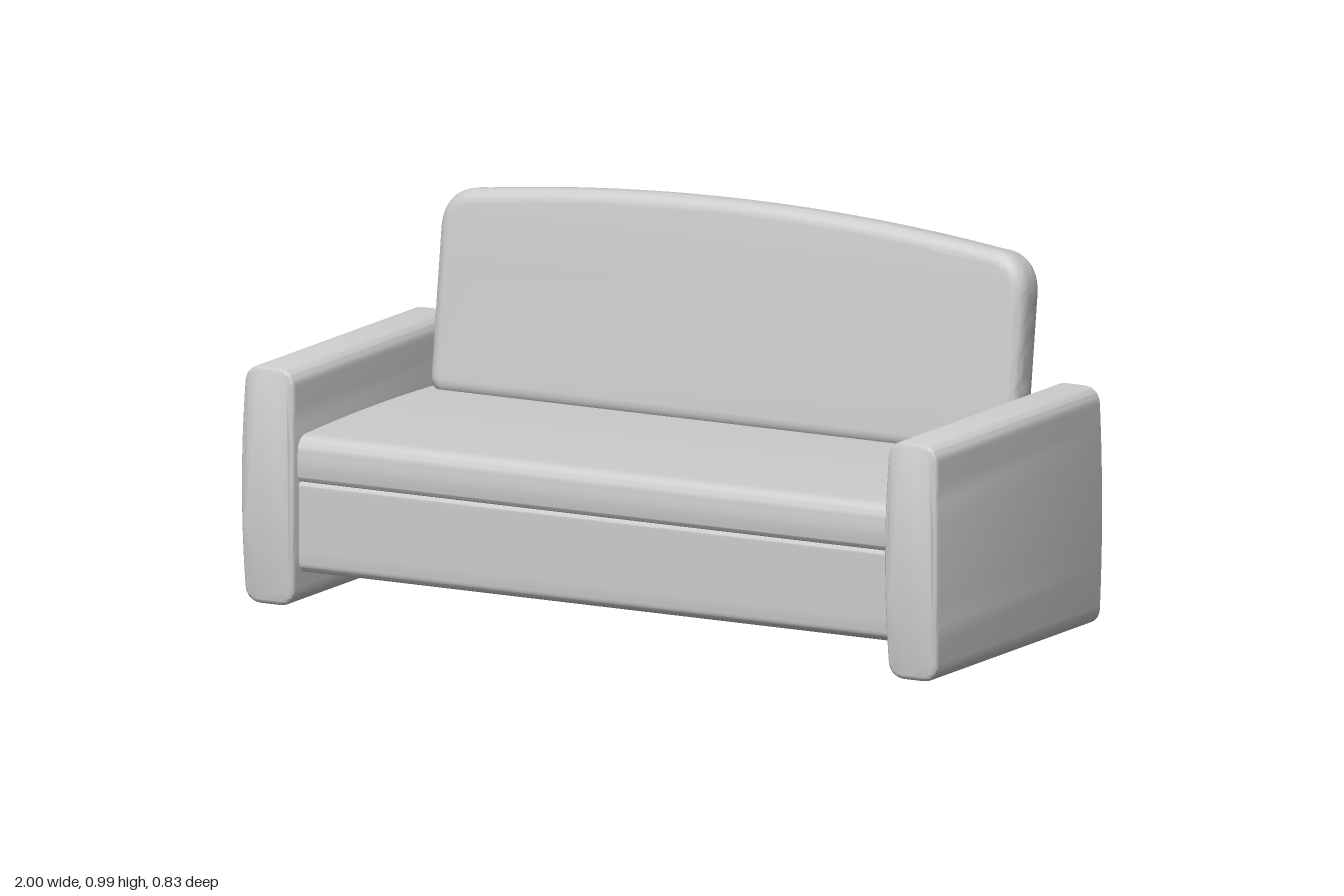
import * as THREE from 'three';
import { toCreasedNormals } from 'three/addons/utils/BufferGeometryUtils.js';

const material = new THREE.MeshStandardMaterial({ color: 0xcccccc });

function part(name, geometry, crease = 0.7) {
  const mesh = new THREE.Mesh(toCreasedNormals(geometry, crease), material);
  mesh.name = name;
  return mesh;
}

// Closed outline with a rounded corner at each [x, y, radius]; an optional
// fourth value bows the edge that follows the corner outward.
function roundedShape(corners) {
  const shape = new THREE.Shape();
  const n = corners.length;
  const point = (i) => new THREE.Vector2(corners[i % n][0], corners[i % n][1]);
  const toward = (a, b, r) => a.clone().add(b.clone().sub(a).setLength(r));
  for (let i = 0; i < n; i++) {
    const [, , r, bow = 0] = corners[i];
    const p = point(i), prev = point(i + n - 1), next = point(i + 1);
    const start = toward(p, prev, r), end = toward(p, next, r);
    if (i === 0) shape.moveTo(start.x, start.y);
    shape.quadraticCurveTo(p.x, p.y, end.x, end.y);
    const stop = toward(next, p, corners[(i + 1) % n][2]);
    const edge = stop.clone().sub(end).normalize();
    const mid = end.clone().add(stop).multiplyScalar(0.5);
    mid.add(new THREE.Vector2(edge.y, -edge.x).multiplyScalar(2 * bow));
    shape.quadraticCurveTo(mid.x, mid.y, stop.x, stop.y);
  }
  return shape;
}

// Profile in (z, y) swept across the width between the arms
function acrossWidth(corners, width) {
  const geometry = new THREE.ExtrudeGeometry(roundedShape(corners), {
    depth: width, bevelEnabled: false, curveSegments: 8,
  });
  return geometry.translate(0, 0, -width / 2).rotateY(-Math.PI / 2);
}

// Padded arm: slightly bowed sides, softened front, flat back
function armGeometry() {
  const b = 0.012, w = 0.071 - b, r = 0.035;
  const shape = roundedShape([
    [-w, b, r], [w, b, r, 0.006], [w, 0.605 - b, r], [-w, 0.605 - b, r, 0.006],
  ]);
  const geometry = new THREE.ExtrudeGeometry(shape, {
    depth: 0.83, bevelSize: b, bevelThickness: b, bevelSegments: 4, curveSegments: 10,
  });
  geometry.translate(0, 0, -0.427);
  const p = geometry.attributes.position;
  for (let i = 0; i < p.count; i++) {
    const t = (p.getY(i) - 0.3) / 0.3;
    const z = p.getZ(i);
    p.setZ(i, z > 0 ? z - 0.01 * t * t : -0.415);
  }
  return geometry;
}

// Backrest: arched top, rounded rim, leaning back
function backrestGeometry() {
  const b = 0.035, w = 0.84 - b, height = 0.57;
  const shape = roundedShape([
    [-w, b, 0.01], [w, b, 0.01], [w, 0.505 - b, 0.07, 0.045], [-w, 0.505 - b, 0.07],
  ].map(([x, y, r, bow]) => [x, y, r, bow]));
  const geometry = new THREE.ExtrudeGeometry(shape, {
    depth: 0.035, bevelSize: b, bevelThickness: b, bevelSegments: 6, curveSegments: 16,
  });
  geometry.computeBoundingBox();
  geometry.scale(1, height / geometry.boundingBox.max.y, 1);
  geometry.translate(0, 0, -0.0175);
  return geometry.rotateX(-0.135);
}

export function createModel() {
  const sofa = new THREE.Group();
  sofa.name = 'sofa';

  for (const side of [-1, 1]) {
    const arm = part(side > 0 ? 'leftArm' : 'rightArm', armGeometry());
    arm.position.x = side * 0.923;
    sofa.add(arm);
  }

  // Base box under the seat
  sofa.add(part('base', acrossWidth([
    [-0.395, 0.085, 0.035], [0.39, 0.085, 0.035], [0.39, 0.322, 0.015], [-0.395, 0.322, 0.01],
  ], 1.69)));

  // Seat cushion with a gentle crown and a rounded front
  sofa.add(part('seatCushion', acrossWidth([
    [-0.3, 0.318, 0.01], [0.397, 0.318, 0.02, 0.002], [0.397, 0.436, 0.045, 0.006], [-0.3, 0.44, 0.015],
  ], 1.69)));

  const backrest = part('backrest', backrestGeometry());
  backrest.position.set(0, 0.423, -0.288);
  sofa.add(backrest);

  return sofa;
}
